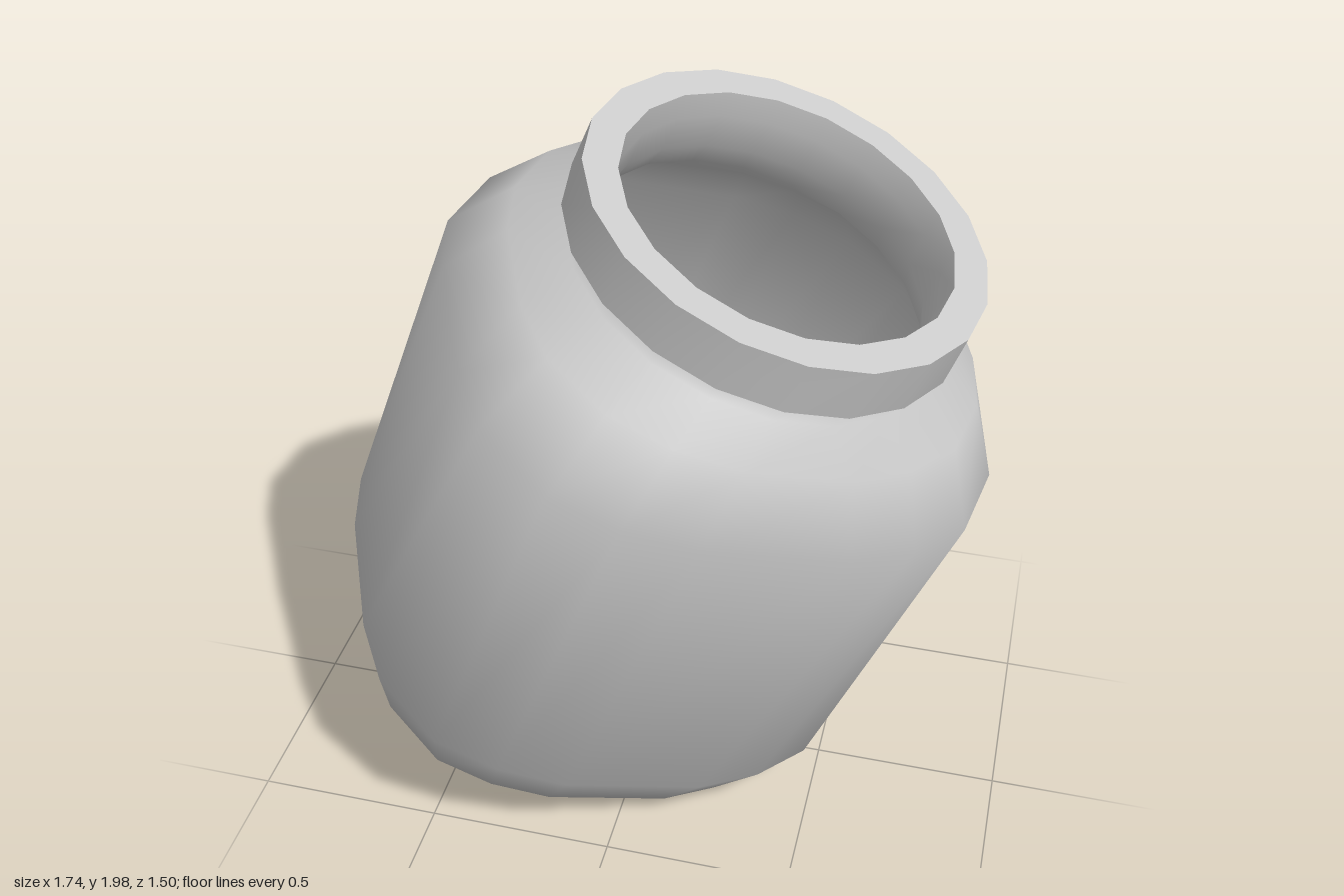
import * as THREE from 'three';
import { toCreasedNormals } from 'three/addons/utils/BufferGeometryUtils.js';

// One quarter of the rounded, slightly oblong cross-section, mirrored to a full loop
const QUARTER = [[0.69, 0.17], [0.66, 0.34], [0.53, 0.525], [0.37, 0.605], [0.19, 0.648]];
const SECTION_RADIUS = 0.74;
const TURN = -0.46; // direction of the first flat side

const half = [...QUARTER, ...QUARTER.map(([x, z]) => [-x, z]).reverse()];
const SECTION = [...half, ...half.map(([x, z]) => [-x, -z])].map(([x, z], j) => {
  const even = (j + 0.5) * Math.PI / 10;
  const angle = Math.atan2(z, x);
  return { even, angle: angle < 0 ? angle + 2 * Math.PI : angle, radius: Math.hypot(x, z) / SECTION_RADIUS };
});

// Skin a profile of [height, radius, squareness] rings
function loft(rings) {
  const n = SECTION.length, positions = [], index = [];
  for (const [y, r, square] of rings) {
    for (const p of SECTION) {
      const d = r * THREE.MathUtils.lerp(1, p.radius, square);
      const angle = TURN + THREE.MathUtils.lerp(p.even, p.angle, Math.min(square, 1));
      positions.push(d * Math.cos(angle), y, d * Math.sin(angle));
    }
  }
  for (let i = 0; i < rings.length - 1; i++) {
    for (let j = 0; j < n; j++) {
      const a = i * n + j, b = i * n + (j + 1) % n, c = a + n, d = b + n;
      if (rings[i][1] > 0) index.push(a, c, b);
      if (rings[i + 1][1] > 0) index.push(b, c, d);
    }
  }
  const geometry = new THREE.BufferGeometry();
  geometry.setAttribute('position', new THREE.Float32BufferAttribute(positions, 3));
  geometry.setIndex(index);
  return toCreasedNormals(geometry, 0.95);
}

export function createModel() {
  const material = new THREE.MeshStandardMaterial({ color: 0xcccccc });
  const jar = new THREE.Group();
  jar.name = 'tiltedJar';

  const add = (name, rings) => {
    const mesh = new THREE.Mesh(loft(rings), material);
    mesh.name = name;
    jar.add(mesh);
  };

  // Outside: flat base, straight walls, shoulder
  add('body', [
    [0.07, 0, 1], [0.07, 0.47, 1.7], [0.16, 0.65, 1], [0.35, 0.735, 1],
    [1.355, 0.735, 1], [1.54, 0.61, 0.6], [1.62, 0.48, 0], [1.64, 0.465, 0],
  ]);

  // Neck groove and thick lip
  add('rim', [
    [1.64, 0.465, 0], [1.66, 0.475, 0], [1.675, 0.505, 0],
    [1.815, 0.5, 0], [1.815, 0.415, 0],
  ]);

  // Hollow inside, flowing from the mouth down to the floor
  add('inside', [
    [1.815, 0.415, 0], [1.75, 0.405, 0], [1.65, 0.41, 0], [1.58, 0.435, 0], [1.5, 0.55, 0.6],
    [1.34, 0.69, 1], [0.36, 0.69, 1], [0.19, 0.61, 1], [0.11, 0.46, 1.7], [0.11, 0, 1],
  ]);

  // Lean the jar to its left and slightly forward
  const axis = new THREE.Vector3(0.359, 0.928, 0.096).normalize();
  jar.quaternion.setFromUnitVectors(new THREE.Vector3(0, 1, 0), axis);
  jar.position.set(-0.3, 0.126, -0.084);

  const model = new THREE.Group();
  model.name = 'jar';
  model.add(jar);
  return model;
}
